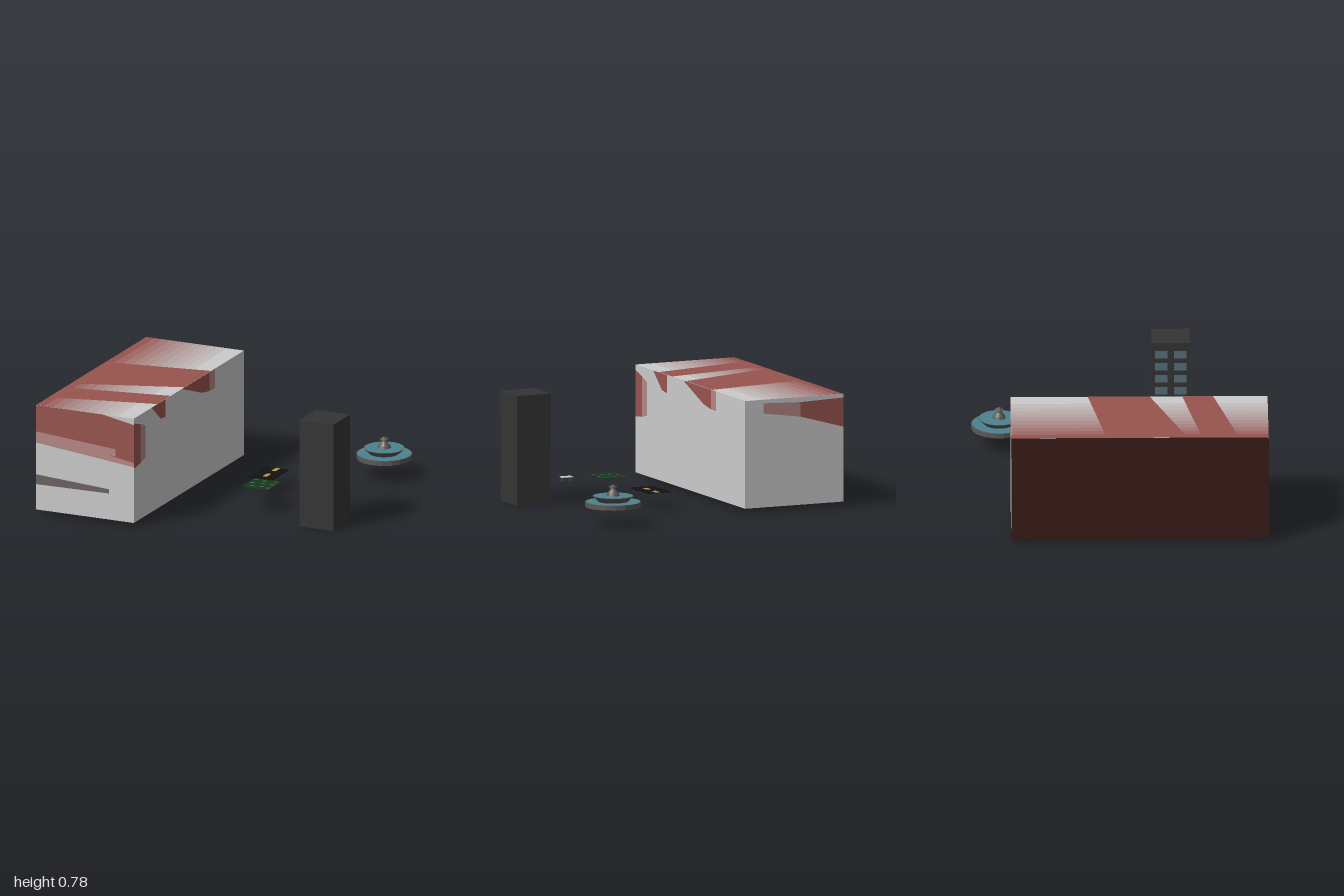
import * as THREE from 'three';

const mat = (color, side = THREE.FrontSide) =>
  new THREE.MeshStandardMaterial({ color, side });

function add(parent, name, geometry, material, x = 0, y = 0, z = 0) {
  const mesh = new THREE.Mesh(geometry, material);
  mesh.name = name;
  mesh.position.set(x, y, z);
  parent.add(mesh);
  return mesh;
}

// Box given by its lower and upper corners
function block(parent, name, [x0, y0, z0], [x1, y1, z1], material) {
  return add(parent, name, new THREE.BoxGeometry(x1 - x0, y1 - y0, z1 - z0), material,
    (x0 + x1) / 2, (y0 + y1) / 2, (z0 + z1) / 2);
}

// Flat painted patch, drawn in x/y and then turned onto a wall or roof
function patch(parent, name, points, material, position, rx = 0, ry = 0) {
  const shape = new THREE.Shape(points.map(([x, y]) => new THREE.Vector2(x, y)));
  const mesh = add(parent, name, new THREE.ShapeGeometry(shape), material, ...position);
  mesh.rotation.set(rx, ry, 0);
}

function buildHall() {
  const g = new THREE.Group();
  g.name = 'hall';
  const grey = mat(0xcccccc), brick = mat(0x3a1c1a), red = mat(0x98544f);
  const pale = mat(0xb58884), soot = mat(0x6a6261);
  // brick on the -x wall, plain elsewhere
  block(g, 'hallBody', [-1, 0.035, -0.745], [-0.265, 0.775, 1], [grey, brick, grey, grey, grey, grey]);

  // roof fades from red to grey across its width
  const fade = [new THREE.Color(0x98544f), new THREE.Color(0xcccccc)];
  const n = 12, w = 0.735 / n;
  for (let i = 0; i < n; i++) {
    const x = -1 + i * w;
    patch(g, 'roofFade', [[x, -1], [x + w, -1], [x + w, 0.745], [x, 0.745]],
      mat(fade[0].clone().lerp(fade[1], i / (n - 1))), [0, 0.7755, 0], -Math.PI / 2);
  }
  // roof bands, points are x and -z
  patch(g, 'roofBand', [[-1, -0.45], [-0.265, -0.2], [-0.265, 0.22], [-1, 0.1]], red, [0, 0.7765, 0], -Math.PI / 2);
  patch(g, 'roofBand', [[-1, -0.8], [-0.265, -0.63], [-0.265, -0.42], [-1, -0.55]], red, [0, 0.7765, 0], -Math.PI / 2);

  // front wall
  patch(g, 'frontFade', [[-1, 0.51], [-0.265, 0.43], [-0.265, 0.6], [-1, 0.6]], pale, [0, 0, 1.0005]);
  patch(g, 'frontBand', [[-1, 0.59], [-0.265, 0.46], [-0.265, 0.73], [-0.5, 0.775], [-1, 0.775]], red, [0, 0, 1.001]);
  patch(g, 'frontLightBand', [[-1, 0.51], [-0.4, 0.49], [-0.4, 0.54], [-1, 0.59]], pale, [0, 0, 1.0015]);
  patch(g, 'frontSoot', [[-1, 0.215], [-0.45, 0.22], [-0.45, 0.25], [-1, 0.285]], soot, [0, 0, 1.001]);

  // +x wall, points are -z and y
  const sideRed = (points, m) => patch(g, 'sideStain', points, m, [-0.264, 0, 0], 0, Math.PI / 2);
  sideRed([[-1, 0.42], [-0.9, 0.43], [-0.9, 0.71], [-1, 0.74]], red);
  sideRed([[-0.9, 0.43], [-0.82, 0.45], [-0.82, 0.68], [-0.9, 0.71]], pale);
  sideRed([[-0.72, 0.775], [-0.58, 0.66], [-0.5, 0.65], [-0.5, 0.775]], red);
  sideRed([[-0.24, 0.775], [0.08, 0.66], [0.2, 0.64], [0.2, 0.775]], red);
  sideRed([[0.2, 0.64], [0.28, 0.64], [0.28, 0.775], [0.2, 0.775]], pale);

  // back wall, points are -x and y
  patch(g, 'backStain', [[0.68, 0.64], [1, 0.55], [1, 0.75], [0.68, 0.74]], red, [0, 0, -0.746], 0, Math.PI);
  patch(g, 'backFade', [[0.4, 0.68], [0.68, 0.64], [0.68, 0.74], [0.4, 0.75]], pale, [0, 0, -0.746], 0, Math.PI);
  return g;
}

function buildTower() {
  const g = new THREE.Group();
  g.name = 'tower';
  block(g, 'towerBody', [0.735, 0, 0.225], [0.99, 0.755, 0.485], mat(0x343434));
  // two columns of windows facing the hall
  const glass = mat(0x58707a);
  for (let row = 0; row < 7; row++) {
    for (const z of [0.29, 0.42]) {
      const y = 0.67 - row * 0.088;
      block(g, 'window', [0.733, y - 0.027, z - 0.042], [0.736, y + 0.027, z + 0.042], glass);
    }
  }
  return g;
}

function buildFountain() {
  const g = new THREE.Group();
  g.name = 'fountain';
  g.position.set(0.757, 0, -0.81);
  const stone = mat(0x5c5855, THREE.DoubleSide), water = mat(0x4d8290);
  stone.flatShading = true;
  const lathe = (name, points) => add(g, name,
    new THREE.LatheGeometry(points.map(([r, y]) => new THREE.Vector2(r, y)), 18), stone);
  const disc = (name, r, y) => {
    add(g, name, new THREE.CircleGeometry(r, 18), water, 0, y, 0).rotation.x = -Math.PI / 2;
  };
  lathe('basin', [[0, 0.13], [0.19, 0.13], [0.19, 0.163], [0.185, 0.163], [0, 0.162]]);
  disc('basinWater', 0.186, 0.165);
  lathe('bowl', [[0.1, 0.163], [0.14, 0.203], [0.135, 0.203], [0, 0.202]]);
  disc('bowlWater', 0.136, 0.205);
  lathe('spout', [[0.047, 0.203], [0.04, 0.22], [0.02, 0.248], [0.017, 0.26], [0.03, 0.264],
    [0.028, 0.268], [0.016, 0.268], [0.012, 0.277], [0, 0.281]]);
  return g;
}

function buildRoad() {
  const g = new THREE.Group();
  g.name = 'road';
  block(g, 'asphalt', [0.095, 0.113, -0.325], [0.27, 0.117, -0.045], mat(0x111111));
  const yellow = mat(0xb89a45);
  for (const z of [-0.322, -0.182]) {
    block(g, 'laneMark', [0.175, 0.116, z], [0.207, 0.1185, z + 0.07], yellow);
  }
  return g;
}

function buildFlowerBed() {
  const g = new THREE.Group();
  g.name = 'flowerBed';
  block(g, 'grass', [0.215, 0.164, 0.095], [0.415, 0.166, 0.305], mat(0x123a14));
  const petals = [mat(0x744048), mat(0x57527c)];
  const spots = [[0.24, 0.125], [0.305, 0.13], [0.385, 0.12], [0.245, 0.2], [0.32, 0.185],
    [0.39, 0.19], [0.275, 0.26], [0.34, 0.25], [0.395, 0.27]];
  spots.forEach(([x, z], i) => {
    add(g, 'flower', new THREE.CircleGeometry(0.015, 8), petals[i % 2], x, 0.1668, z).rotation.x = -Math.PI / 2;
  });
  return g;
}

function buildBench() {
  const g = new THREE.Group();
  g.name = 'bench';
  const grey = mat(0xcccccc), dark = mat(0x555555);
  block(g, 'benchSeat', [0.705, 0.219, -0.068], [0.785, 0.225, -0.02], grey);
  for (const x of [0.713, 0.773]) {
    for (const z of [-0.06, -0.032]) {
      block(g, 'benchLeg', [x, 0.19, z], [x + 0.005, 0.22, z + 0.005], dark);
    }
  }
  return g;
}

export function createModel() {
  const model = new THREE.Group();
  model.name = 'townBlock';
  model.add(buildHall(), buildTower(), buildFountain(), buildRoad(), buildFlowerBed(), buildBench());
  return model;
}
